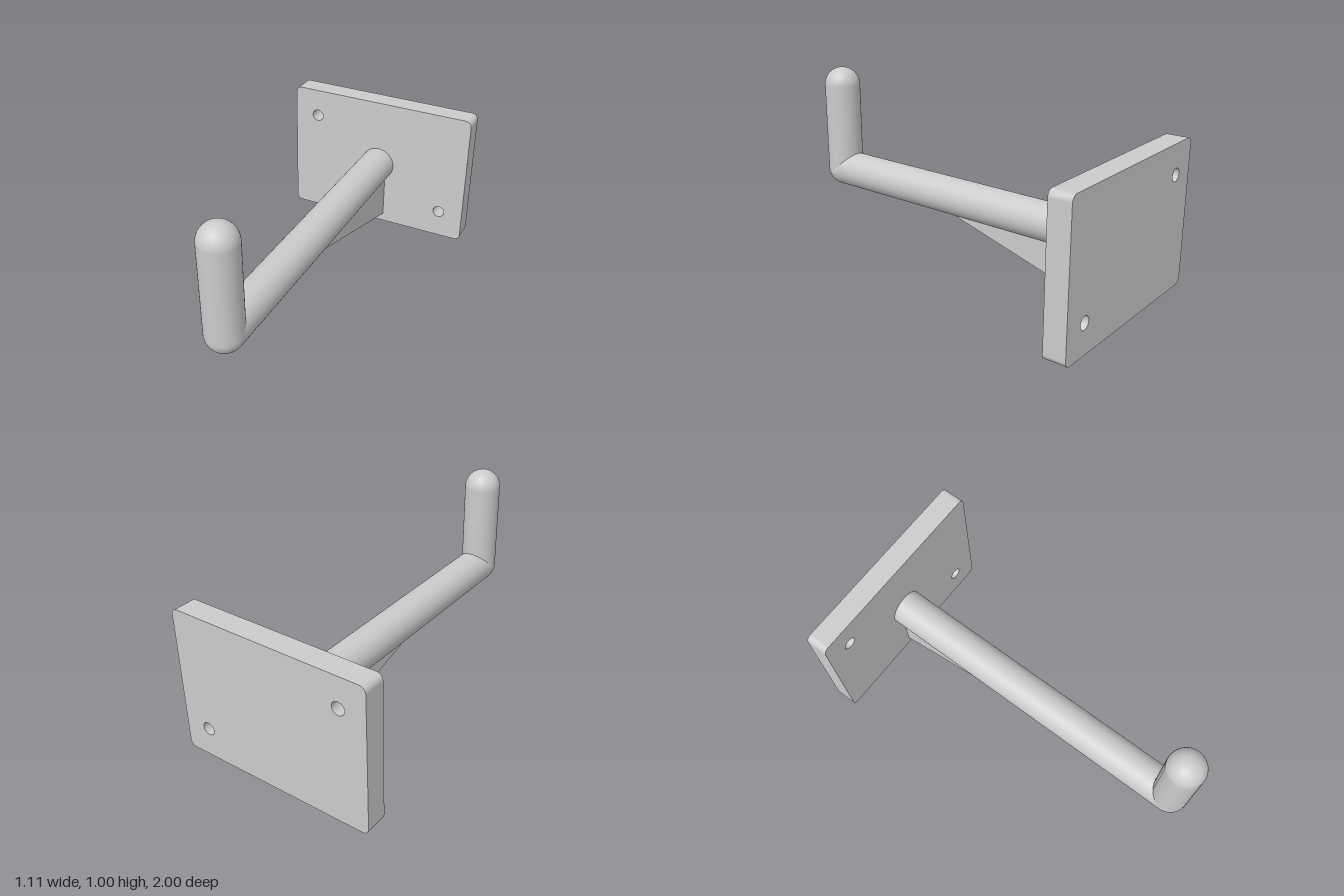
import * as THREE from 'three';

const material = new THREE.MeshStandardMaterial({ color: 0xcccccc });

function addPart(group, name, geometry) {
  const mesh = new THREE.Mesh(geometry, material);
  mesh.name = name;
  group.add(mesh);
  return mesh;
}

// Rectangle with rounded corners, standing on y = 0
function roundedRect(halfWidth, height, r) {
  const s = new THREE.Shape();
  s.absarc(halfWidth - r, r, r, -Math.PI / 2, 0);
  s.absarc(halfWidth - r, height - r, r, 0, Math.PI / 2);
  s.absarc(-halfWidth + r, height - r, r, Math.PI / 2, Math.PI);
  s.absarc(-halfWidth + r, r, r, Math.PI, Math.PI * 1.5);
  s.closePath();
  return s;
}

export function createModel() {
  const group = new THREE.Group();
  group.name = 'wallHook';
  const radius = 0.1, armY = 0.4, tipZ = 0.9, plateFront = -0.88;

  // Wall plate with two diagonal screw holes
  const plate = roundedRect(0.557, 0.8, 0.035);
  for (const side of [-1, 1]) {
    const hole = new THREE.Path();
    hole.absarc(side * 0.41, 0.4 - side * 0.235, 0.035, 0, Math.PI * 2, true);
    plate.holes.push(hole);
  }
  addPart(group, 'wallPlate', new THREE.ExtrudeGeometry(plate, {
    depth: 0.12, bevelEnabled: false, curveSegments: 16,
  })).position.z = -1;

  // Horizontal arm from the plate to the elbow
  const armLength = tipZ - plateFront;
  const arm = addPart(group, 'arm',
    new THREE.CylinderGeometry(radius, radius, armLength, 48, 1, true));
  arm.rotation.x = Math.PI / 2;
  arm.position.set(0, armY, plateFront + armLength / 2);

  // Upright tip, its round lower end forming the elbow
  addPart(group, 'uprightTip', new THREE.CapsuleGeometry(radius, 0.5, 16, 48))
    .position.set(0, armY + 0.25, tipZ);

  // Triangular rib below the arm, drawn in (z, y)
  const rib = new THREE.Shape([
    new THREE.Vector2(plateFront, 0.05),
    new THREE.Vector2(0.33, armY),
    new THREE.Vector2(plateFront, armY),
  ]);
  const ribGeometry = new THREE.ExtrudeGeometry(rib, { depth: 0.1, bevelEnabled: false });
  ribGeometry.translate(0, 0, -0.05);
  ribGeometry.rotateY(-Math.PI / 2);
  addPart(group, 'supportRib', ribGeometry);

  return group;
}
